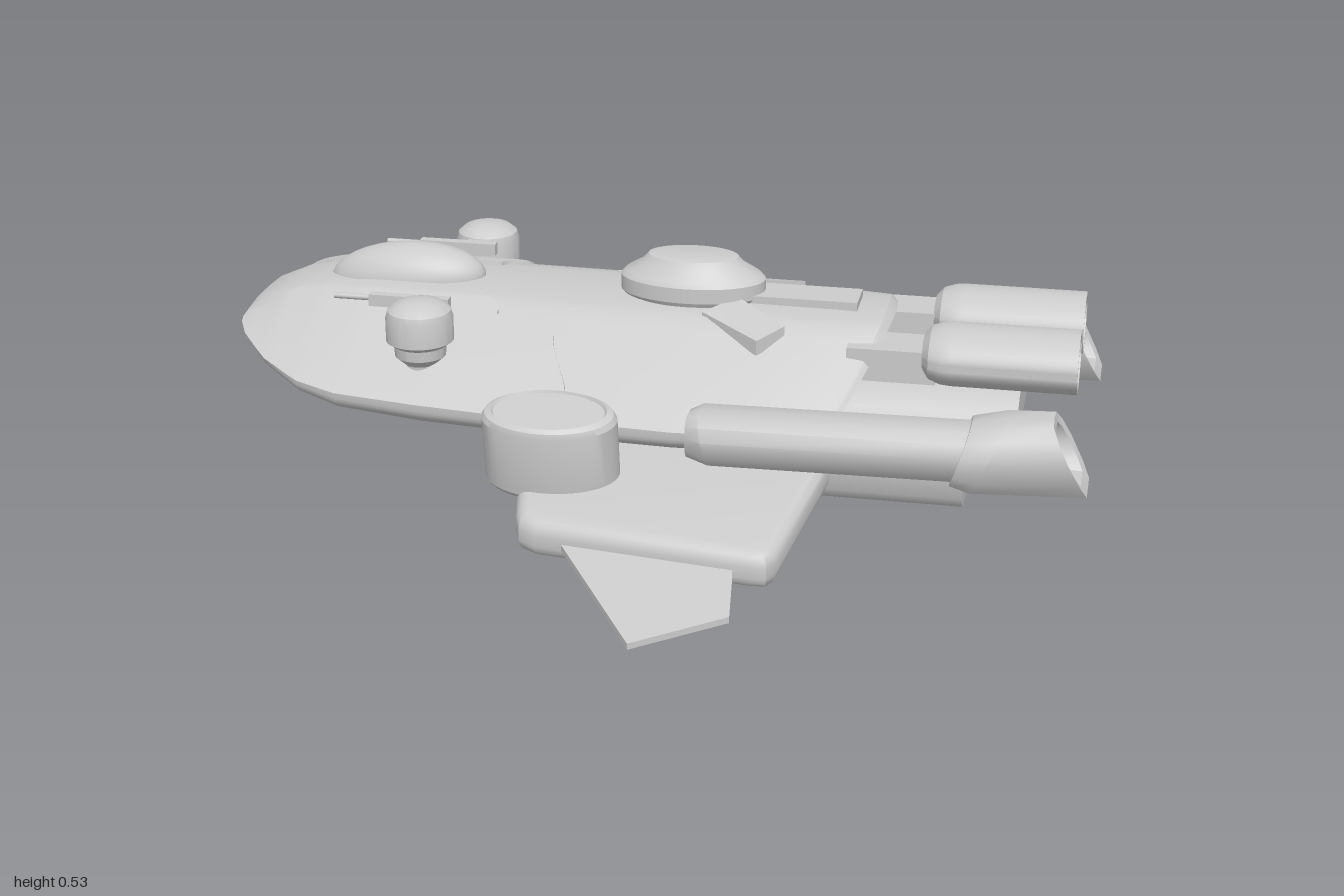
import * as THREE from 'three';
import { toCreasedNormals } from 'three/addons/utils/BufferGeometryUtils.js';

const mat = new THREE.MeshStandardMaterial({ color: 0xcccccc, side: THREE.DoubleSide });

// Hull stations: x, half width, top, rim height, bottom
const stations = [
  [-1, 0.15, 0.375, 0.36, 0.345], [-0.98, 0.2, 0.392, 0.35, 0.325], [-0.9, 0.29, 0.425, 0.32, 0.275],
  [-0.8, 0.355, 0.442, 0.295, 0.235], [-0.7, 0.385, 0.45, 0.283, 0.21], [-0.5, 0.4, 0.45, 0.275, 0.193],
  [-0.2, 0.41, 0.447, 0.265, 0.185], [0.08, 0.405, 0.445, 0.255, 0.18], [0.4, 0.375, 0.443, 0.25, 0.18],
  [0.51, 0.35, 0.44, 0.25, 0.18], [0.53, 0.34, 0.425, 0.25, 0.185],
];

function station(x) {
  let i = 0;
  while (i < stations.length - 2 && x > stations[i + 1][0]) i++;
  const a = stations[i], b = stations[i + 1], t = (x - a[0]) / (b[0] - a[0]);
  return a.map((v, k) => v + (b[k] - v) * t);
}

// Point on the hull at angle a (0 = top centre, PI = bottom centre): flat deck, sloping shoulders, rounded belly
function hullPoint(x, a, lift = 0) {
  const [, w, top, rim, bot] = station(x);
  const c = Math.cos(a), sn = Math.sin(a), t = Math.abs(sn), upper = c >= 0;
  const z = Math.sign(sn) * (w + lift) * (upper ? t : Math.pow(t, 0.6));
  const h = t < 0.34 ? 1 - 0.06 * (t / 0.34) ** 2 : 0.94 * (1 - (t - 0.34) / 0.66);
  const y = upper ? rim + (top - rim) * h + lift * (1 - t ** 4) : rim - (rim - bot) * Math.pow(-c, 0.6);
  // The stern is bowed in plan and raked below
  const k = Math.max(0, (x - 0.2) / 0.33);
  return [x - k * (0.035 * (z / 0.34) ** 2 + Math.max(0, 0.43 - y) * 0.4), y, z];
}

// Skin a list of cross-sections
function loft(rings, { closed = true, caps = true, crease = 0.6 } = {}) {
  const n = rings[0].length, pos = rings.flat(2), idx = [];
  for (let i = 0; i < rings.length - 1; i++)
    for (let j = 0; j < (closed ? n : n - 1); j++) {
      const p = i * n + j, q = i * n + (j + 1) % n;
      idx.push(p, q, p + n, q, q + n, p + n);
    }
  if (caps) [0, rings.length - 1].forEach((r) => {
    const c = pos.length / 3;
    for (let k = 0; k < 3; k++) pos.push(rings[r].reduce((s, p) => s + p[k], 0) / n);
    for (let j = 0; j < n; j++) {
      const p = r * n + j, q = r * n + (j + 1) % n;
      idx.push(...(r ? [c, p, q] : [c, q, p]));
    }
  });
  const g = new THREE.BufferGeometry();
  g.setAttribute('position', new THREE.Float32BufferAttribute(pos, 3));
  g.setIndex(idx);
  return toCreasedNormals(g, crease);
}

// Turned profile, bottom to top, squashed to an oval
const lathe = (pts, sx = 1, sz = 1) => toCreasedNormals(
  new THREE.LatheGeometry(pts.map((p) => new THREE.Vector2(...p)), 48).scale(sx, 1, sz), 0.45);

// Plan outline in x/z given thickness downward from y = 0
function slab(pts, depth, bevel = 0) {
  const shape = new THREE.Shape(pts.map((p) => new THREE.Vector2(...p)));
  const g = new THREE.ExtrudeGeometry(shape, {
    depth: depth - 2 * bevel, bevelEnabled: bevel > 0, bevelSize: bevel, bevelOffset: -bevel,
    bevelThickness: bevel, bevelSegments: 4,
  });
  return g.rotateX(Math.PI / 2).translate(0, -bevel, 0);
}

// Lower a slab in proportion to its distance outboard of z0
function droop(g, z0, slope) {
  const p = g.attributes.position;
  for (let i = 0; i < p.count; i++) p.setY(i, p.getY(i) - Math.max(0, Math.abs(p.getZ(i)) - z0) * slope);
  return toCreasedNormals(g, 0.6);
}

export function createModel() {
  const model = new THREE.Group();
  const add = (name, g, x = 0, y = 0, z = 0) => {
    const m = new THREE.Mesh(g, mat);
    m.name = name;
    m.position.set(x, y, z);
    model.add(m);
    return m;
  };

  // Main hull
  const xs = stations.flatMap((s, i) => (i ? [(s[0] + stations[i - 1][0]) / 2, s[0]] : [s[0]]));
  add('hull', loft(xs.map((x) => Array.from({ length: 72 }, (_, j) => hullPoint(x, (j / 72) * Math.PI * 2)))));

  // Lower hull block and stern deck, as prisms along x
  const prism = (half, sections) => loft(sections.map(([x, s]) =>
    [...half, ...half.map(([z, y]) => [-z, y]).reverse()].map(([z, y]) => [x, y, z * s])), { crease: 0.7 });
  add('lowerHull', prism([[0.1, 0.235], [0.25, 0.222], [0.29, 0.205], [0.3, 0.18], [0.292, 0.1], [0.28, 0.078], [0.255, 0.068], [0.1, 0.064]],
    [[-0.33, 0.97], [-0.3, 1], [0.72, 1]]));
  add('sternDeck', prism([[0.1, 0.325], [0.19, 0.315], [0.235, 0.285], [0.265, 0.245], [0.27, 0.21]], [[0.35, 1], [0.83, 1]]));

  // Cockpit canopy, egg-shaped
  const canopy = new THREE.SphereGeometry(1, 32, 20);
  const cp = canopy.attributes.position;
  for (let i = 0; i < cp.count; i++) {
    const x = cp.getX(i);
    cp.setXYZ(i, x * 0.19, cp.getY(i) * 0.085 + 0.012 * x, cp.getZ(i) * 0.086);
  }
  canopy.computeVertexNormals();
  add('canopy', canopy, -0.635, 0.435, 0);

  // Sensor dome and its three vanes
  add('sensorDome', lathe([[0, 0], [0.95, 0], [1, 0.01], [1, 0.045], [0.94, 0.056], [0.7, 0.08], [0.62, 0.096], [0.56, 0.098], [0, 0.098]],
    0.17, 0.105), 0.055, 0.44, 0);
  add('centreVane', new THREE.BoxGeometry(0.27, 0.03, 0.1), 0.31, 0.445, 0);

  for (const s of [1, -1]) {
    const mirror = (pts) => pts.map(([x, z]) => [x, z * s]);
    const vane = [[0.1, 0.13], [0.24, 0.215], [0.295, 0.16], [0.17, 0.06]];
    add('sideVane', droop(slab(mirror(vane), 0.035), 0.08, 0.35), 0, 0.46, 0);

    // Raised bow armour plate following the hull
    const rows = 32, cols = 48, plate = [];
    const ramp = THREE.MathUtils.smoothstep;
    for (let i = -1; i <= rows + 1; i++) {
      const row = [];
      for (let j = -1; j <= cols + 1; j++) {
        const u = THREE.MathUtils.clamp(i / rows, 0, 1), v = THREE.MathUtils.clamp(j / cols, 0, 1);
        const edge = i < 0 || j < 0 || i > rows || j > cols;
        const end = -0.43 + 0.06 * ramp(v, 0, 0.15) + 0.14 * ramp(v, 0.17, 0.24) + 0.06 * ramp(v, 0.2, 0.6) - 0.03 * ramp(v, 0.65, 1);
        const x = -0.995 + u * (end + 0.995);
        const inner = 0.09 + 0.05 * (1 - ramp(x, -1, -0.78));
        const a0 = Math.asin(inner / station(x)[1]);
        const p = hullPoint(x, a0 + v * (Math.PI / 2 - a0), edge ? -0.006 : 0.009);
        row.push([p[0], p[1], p[2] * s]);
      }
      plate.push(s > 0 ? row : row.reverse());
    }
    add('bowPlate', loft(plate, { closed: false, caps: false }));

    // Ball turret with a stepped barrel
    add('turret', lathe([[0, -0.1], [0.022, -0.098], [0.034, -0.085], [0.036, -0.06], [0.058, -0.04], [0.06, -0.015], [0.077, -0.003],
      [0.077, 0.05], [0.072, 0.068], [0.055, 0.082], [0.03, 0.09], [0, 0.092]]), -0.52, 0.395, 0.295 * s);
    add('turretMount', new THREE.BoxGeometry(0.06, 0.03, 0.08), -0.52, 0.445, 0.235 * s);
    add('turretGun', new THREE.BoxGeometry(0.19, 0.028, 0.024), -0.57, 0.447, 0.205 * s);
    add('turretBarrel', new THREE.CylinderGeometry(0.007, 0.007, 0.1, 10).rotateZ(Math.PI / 2), -0.7, 0.45, 0.205 * s);

    // Oval side pod, leaning outward, with a recessed lid
    const pod = lathe([[0, -0.09], [0.95, -0.09], [1, -0.08], [1, 0.07], [0.95, 0.083], [0.85, 0.09], [0.82, 0.084], [0, 0.084]], 0.153, 0.097);
    add('sidePod', pod, -0.18, 0.222, 0.445 * s).rotation.x = 0.17 * s;

    // Drooping wing: thick root and thin tip fin
    const root = [[-0.3, 0.25], [-0.225, 0.59], [-0.21, 0.625], [-0.17, 0.645], [0.31, 0.692], [0.345, 0.69],
      [0.362, 0.665], [0.43, 0.25]];
    add('wingRoot', droop(slab(mirror(root), 0.085, 0.03), 0.25, 0.18), 0, 0.19, 0);
    const fin = [[-0.13, 0.62], [0.105, 0.966], [0.295, 0.848], [0.265, 0.62]];
    add('wingFin', droop(slab(mirror(fin), 0.014), 0.25, 0.18), 0, 0.15, 0);

    // Engine nacelle: oval tube with rounded nose and hollow end
    const nacelle = lathe([[0, 0], [0.6, 0.004], [0.85, 0.02], [0.97, 0.045], [1, 0.07], [1, 0.35], [0.87, 0.35],
      [0.78, 0.22], [0, 0.22]], 0.068, 0.102);
    add('nacelle', nacelle.rotateZ(-Math.PI / 2), 0.605, 0.385, 0.132 * s);
    add('nacelleMount', new THREE.BoxGeometry(0.2, 0.075, 0.12), 0.54, 0.365, 0.13 * s);

    // Side cannon of rounded six-sided section with a slanted, flared muzzle
    const hex = (x, w, h, zc, yc = 0.255, slant = 0) => {
      const pts = [[0, 1], [0.55, 0.97], [0.85, 0.65], [1, 0.1], [0.9, -0.6], [0.65, -1], [-0.65, -1], [-0.9, -0.6], [-1, 0.1], [-0.85, 0.65], [-0.55, 0.97]]
        .map(([z, y]) => [x - slant * y, yc + h * y, (zc + w * z) * s]);
      return s > 0 ? pts : pts.reverse();
    };
    add('cannonBody', loft([hex(0.12, 0.05, 0.045, 0.393), hex(0.16, 0.075, 0.056, 0.392, 0.255, 0.012),
      hex(0.78, 0.077, 0.056, 0.372)], { crease: 0.75 }));
    add('cannonMuzzle', loft([hex(0.72, 0.085, 0.065, 0.372, 0.255, -0.02), hex(0.78, 0.098, 0.078, 0.37, 0.257, -0.035),
      hex(0.955, 0.085, 0.078, 0.352, 0.257, 0.04), hex(0.95, 0.066, 0.058, 0.352, 0.257, 0.03),
      hex(0.85, 0.058, 0.05, 0.357, 0.257, 0)], { crease: 0.75 }));
  }
  return model;
}
